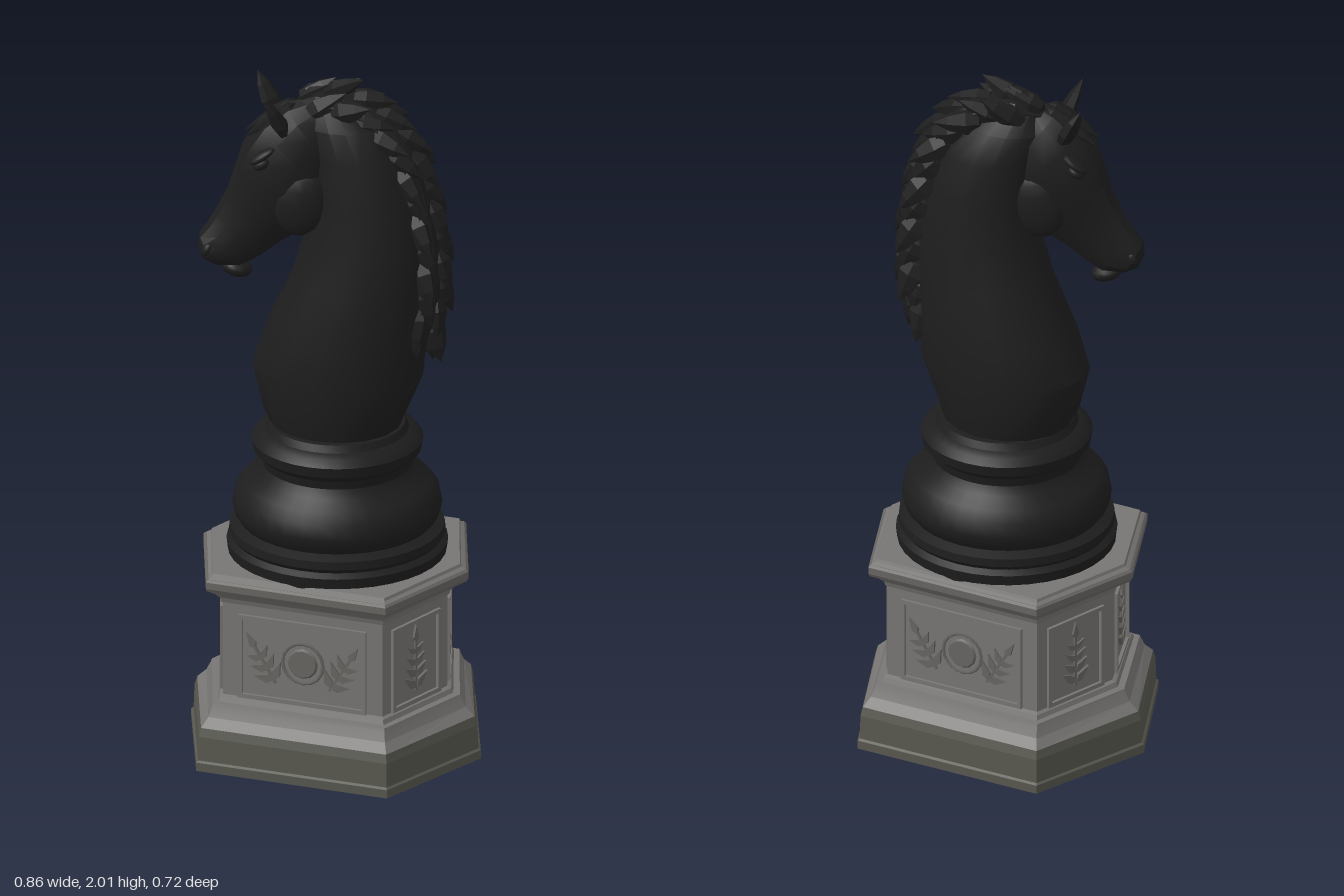
import * as THREE from 'three';
import { toCreasedNormals } from 'three/addons/utils/BufferGeometryUtils.js';

const V = (x, y, z) => new THREE.Vector3(x, y, z);

// Skin a list of closed rings (each an array of points), capped at both ends
function loft(rings, crease) {
  const pos = [];
  const tri = (...p) => p.forEach((q) => pos.push(q.x, q.y, q.z));
  const n = rings[0].length;
  const mid = (r) => r.reduce((s, p) => s.add(p), V(0, 0, 0)).divideScalar(n);
  const first = rings[0], last = rings[rings.length - 1];
  const c0 = mid(first), c1 = mid(last);
  for (let j = 0; j < n; j++) {
    const k = (j + 1) % n;
    for (let i = 0; i < rings.length - 1; i++) {
      const a = rings[i], b = rings[i + 1];
      tri(a[j], a[k], b[k]);
      tri(a[j], b[k], b[j]);
    }
    tri(c0, first[k], first[j]);
    tri(c1, last[j], last[k]);
  }
  const g = new THREE.BufferGeometry();
  g.setAttribute('position', new THREE.Float32BufferAttribute(pos, 3));
  return toCreasedNormals(g, crease);
}

// Elliptical ring spanned by half-axes u and v
function ring(c, u, v, n) {
  return Array.from({ length: n }, (_, i) => {
    const a = (i / n) * Math.PI * 2;
    return c.clone().addScaledVector(u, Math.cos(a)).addScaledVector(v, Math.sin(a));
  });
}

export function createModel() {
  const model = new THREE.Group();
  const mat = (name, color) => Object.assign(new THREE.MeshStandardMaterial({ color }), { name });
  const black = mat('black lacquer', 0x1d1d1d);
  const stone = mat('grey stone', 0x777573);
  const darkStone = mat('dark stone', 0x57574f);
  const midStone = mat('shaded stone', 0x676562);

  function add(name, geo, material, parent = model) {
    const m = new THREE.Mesh(geo, material);
    m.name = name;
    parent.add(m);
    return m;
  }

  // --- Hexagonal pedestal: levels are [height, spread], 0 = wall, 1 = foot ---
  const hex = ([y, k]) => {
    const a = 0.33 + 0.1 * k, x = 0.237 + 0.046 * k, z = 0.268 + 0.09 * k;
    return [V(x, y, z), V(a, y, 0), V(x, y, -z), V(-x, y, -z), V(-a, y, 0), V(-x, y, z)];
  };
  const hexPart = (name, levels, m) => add(name, loft(levels.map(hex), 0.1), m);
  hexPart('pedestalSkirt', [[0, 1], [0.025, 1], [0.03, 0.93], [0.1, 0.9], [0.125, 0.82]], darkStone);
  hexPart('pedestalFoot', [[0.125, 0.82], [0.15, 0.55], [0.175, 0.42], [0.185, 0.38], [0.187, 0.18], [0.2, 0.12], [0.205, 0]], stone);
  hexPart('pedestalWall', [[0.2, 0], [0.49, 0]], stone);
  hexPart('corniceCove', [[0.485, 0.06], [0.5, 0.12], [0.515, 0.3], [0.53, 0.55]], stone);
  hexPart('corniceBand', [[0.53, 0.58], [0.54, 0.64], [0.56, 0.64], [0.566, 0.56]], midStone);
  hexPart('corniceTop', [[0.566, 0.54], [0.572, 0.42], [0.58, 0.38]], stone);

  // --- Carved panels on the six walls ---
  const rect = (P, w, h) => {
    const p = new P();
    p.moveTo(-w / 2, -h / 2); p.lineTo(w / 2, -h / 2); p.lineTo(w / 2, h / 2); p.lineTo(-w / 2, h / 2); p.closePath();
    return p;
  };
  const extrude = (s, depth) => new THREE.ExtrudeGeometry(s, { depth, bevelEnabled: false, curveSegments: 6 });
  const leafShape = new THREE.Shape([[0, 0], [0.011, 0.016], [0, 0.052], [-0.011, 0.016]].map((p) => new THREE.Vector2(...p)));
  const leafGeo = extrude(leafShape, 0.007);

  function sprig(parent, x, y, turn, pairs) {
    const s = new THREE.Group();
    s.name = 'leafSprig';
    s.position.set(x, y, 0);
    s.rotation.z = turn;
    add('stem', new THREE.BoxGeometry(0.007, pairs * 0.034 + 0.02, 0.012), midStone, s).position.y = pairs * 0.017;
    for (let i = 0; i < pairs; i++) for (const side of [-1, 1]) {
      const l = add('leaf', leafGeo, midStone, s);
      l.position.y = i * 0.034;
      l.rotation.z = -side * 0.9;
      l.scale.setScalar(1.15 - i * 0.12);
    }
    add('tipLeaf', leafGeo, midStone, s).position.y = pairs * 0.034;
    parent.add(s);
  }

  const corners = hex([0.33, 0]);
  corners.forEach((p, i) => {
    const q = corners[(i + 1) % 6], d = q.clone().sub(p);
    const panel = new THREE.Group();
    panel.name = 'wallPanel';
    panel.position.copy(p).add(q).multiplyScalar(0.5);
    panel.rotation.y = Math.atan2(-d.z, d.x);
    const wide = d.length() > 0.4, w = wide ? 0.38 : 0.21;
    const frame = rect(THREE.Shape, w, 0.25);
    frame.holes.push(rect(THREE.Path, w - 0.025, 0.225));
    add('panelFrame', extrude(frame, 0.009), stone, panel);
    if (wide) {
      const disc = add('medallion', new THREE.CylinderGeometry(0.04, 0.05, 0.012, 12), midStone, panel);
      disc.rotation.x = Math.PI / 2;
      add('medallionRim', new THREE.TorusGeometry(0.06, 0.005, 4, 16), midStone, panel);
      for (const s of [-1, 1]) sprig(panel, s * 0.085, -0.06, -s * 0.55, 3);
    } else sprig(panel, 0, -0.08, 0, 4);
    model.add(panel);
  });

  // --- Turned base of the piece ---
  const profile = [[0, 0.575], [0.305, 0.575], [0.309, 0.61], [0.292, 0.622], [0.302, 0.635], [0.3, 0.658], [0.27, 0.67],
    [0.285, 0.69], [0.293, 0.72], [0.285, 0.76], [0.262, 0.79], [0.222, 0.815], [0.208, 0.84], [0.213, 0.865],
    [0.235, 0.885], [0.24, 0.915], [0.225, 0.935], [0.2, 0.945], [0.19, 0.965], [0, 0.965]];
  const lathe = new THREE.LatheGeometry(profile.map((p) => new THREE.Vector2(...p)), 36);
  add('turnedBase', toCreasedNormals(lathe, 0.6), black).position.x = 0.004;

  // --- Neck: [y, front x, back x, half width, centre z] ---
  const neck = [[0.94, -0.175, 0.175, 0.165, 0], [1, -0.205, 0.2, 0.18, 0], [1.13, -0.24, 0.255, 0.188, 0],
    [1.25, -0.2, 0.258, 0.184, 0], [1.4, -0.13, 0.268, 0.163, 0], [1.53, -0.09, 0.265, 0.143, 0], [1.66, -0.08, 0.235, 0.128, 0],
    [1.78, -0.09, 0.195, 0.113, 0], [1.87, -0.11, 0.14, 0.09, 0.01], [1.94, -0.08, 0.04, 0.04, 0.02]];
  add('neck', loft(neck.map(([y, a, b, w, z]) => ring(V((a + b) / 2, y, z), V(0, 0, w), V((b - a) / 2, 0, 0), 16)), 0.5), black);

  // --- Head, turned a little sideways: [top x, top y, bottom x, bottom y, half width] ---
  const headZ = (x) => 0.02 - 0.31 * x;
  const across = V(0.31, 0, 0.95);
  const onHead = (x, y, side) => V(x, y, headZ(x)).addScaledVector(across, side);
  const head = [[-0.36, 1.49, -0.34, 1.45, 0.025], [-0.358, 1.53, -0.305, 1.435, 0.048], [-0.335, 1.565, -0.245, 1.435, 0.053],
    [-0.31, 1.61, -0.195, 1.465, 0.049], [-0.282, 1.67, -0.14, 1.51, 0.06], [-0.258, 1.75, -0.085, 1.545, 0.08],
    [-0.24, 1.81, -0.035, 1.59, 0.096], [-0.195, 1.88, -0.005, 1.68, 0.098], [-0.13, 1.93, 0.01, 1.76, 0.08], [-0.06, 1.945, 0.03, 1.84, 0.04]];
  add('head', loft(head.map(([tx, ty, bx, by, w]) => {
    const t = onHead(tx, ty, 0), b = onHead(bx, by, 0);
    return ring(t.clone().add(b).multiplyScalar(0.5), t.sub(b).multiplyScalar(0.5), across.clone().multiplyScalar(w), 12);
  }), 0.5), black);

  // Rounded features set on the head: ellipsoids aligned with it
  function bump(name, x, y, side, sx, sy, sz, tilt = 0) {
    const m = add(name, new THREE.SphereGeometry(1, 12, 8), black);
    m.position.copy(onHead(x, y, side));
    m.scale.set(sx, sy, sz);
    m.rotation.set(0, Math.atan2(0.31, 0.95), tilt);
  }
  bump('lowerLip', -0.258, 1.428, 0, 0.045, 0.026, 0.036, -0.25);
  for (const s of [-1, 1]) {
    bump('cheek', -0.085, 1.655, s * 0.07, 0.075, 0.1, 0.036, -0.2);
    bump('eye', -0.19, 1.775, s * 0.085, 0.024, 0.016, 0.016, 0.5);
    bump('brow', -0.188, 1.8, s * 0.085, 0.042, 0.013, 0.022, 0.6);
    bump('nostril', -0.335, 1.495, s * 0.036, 0.014, 0.022, 0.014, -0.5);
  }

  // --- Pointed leaf form used for ears and mane locks ---
  const leafProfile = [[0, 0], [0.75, 0.1], [1, 0.35], [0.65, 0.7], [0, 1]];
  const lockGeo = toCreasedNormals(new THREE.LatheGeometry(leafProfile.map((p) => new THREE.Vector2(...p)), 6), 0.3);
  function lock(name, base, tip, width, thick, facing) {
    const y = tip.clone().sub(base), len = y.length();
    y.normalize();
    const x = y.clone().cross(facing).normalize(), z = x.clone().cross(y);
    const m = add(name, lockGeo, black);
    m.quaternion.setFromRotationMatrix(new THREE.Matrix4().makeBasis(x, y, z));
    m.position.copy(base);
    m.scale.set(width, len, thick);
  }
  lock('leftEar', V(-0.11, 1.85, 0.105), V(-0.145, 1.975, 0.172), 0.036, 0.024, V(-1, 0, 0.5));
  lock('rightEar', V(-0.175, 1.86, -0.005), V(-0.24, 1.98, -0.02), 0.036, 0.024, V(-1, 0, -0.2));

  // --- Mane: a ridge along the crest covered with overlapping locks ---
  const crest = new THREE.CatmullRomCurve3([[-0.1, 1.92, 0.03], [0, 1.94, 0.01], [0.11, 1.895, -0.01], [0.185, 1.82, -0.02],
    [0.24, 1.69, -0.03], [0.272, 1.55, -0.03], [0.28, 1.4, -0.03], [0.255, 1.28, -0.025], [0.25, 1.2, -0.02]].map((p) => V(...p)));
  const frameAt = (t) => {
    const T = crest.getPointAt(t), d = crest.getTangentAt(t);
    return { P: T, T: d, N: V(-d.y, d.x, 0).normalize() };
  };
  add('maneRidge', loft(Array.from({ length: 15 }, (_, i) => {
    const { P, N } = frameAt(i / 14), k = i === 0 || i === 14 ? 0.4 : 1;
    return ring(P, N.multiplyScalar(0.032 * k), V(0, 0, 0.062 * k), 8);
  }), 0.4), black);
  for (let i = 0; i < 13; i++) for (const s of [-1, 0, 1]) {
    const { P, T, N } = frameAt(Math.min((i + (s ? 0.4 : 0)) / 13.5, 0.9));
    const base = P.clone().addScaledVector(N, s ? -0.035 : 0.01).add(V(0, 0, s * 0.04));
    const tip = P.clone().addScaledVector(T, 0.13).addScaledVector(N, s ? 0.012 : 0.046).add(V(0, 0, s * 0.06 + (i % 2 ? 0.015 : -0.015)));
    lock('maneLock', base, tip, s ? 0.04 : 0.036, s ? 0.026 : 0.03, s ? V(0, 0, s) : N);
  }
  lock('maneTail', V(0.255, 1.31, -0.03), V(0.305, 1.175, -0.02), 0.045, 0.035, V(0, 0, 1));
  lock('topTuft', V(-0.09, 1.91, 0.03), V(0, 2, 0), 0.04, 0.028, V(0, 0, 1));
  for (const s of [-1, 1]) lock('forelock', onHead(-0.1, 1.935, s * 0.015), onHead(-0.24, 1.83, s * 0.025), 0.03, 0.018, V(-1, 1, 0));

  return model;
}
